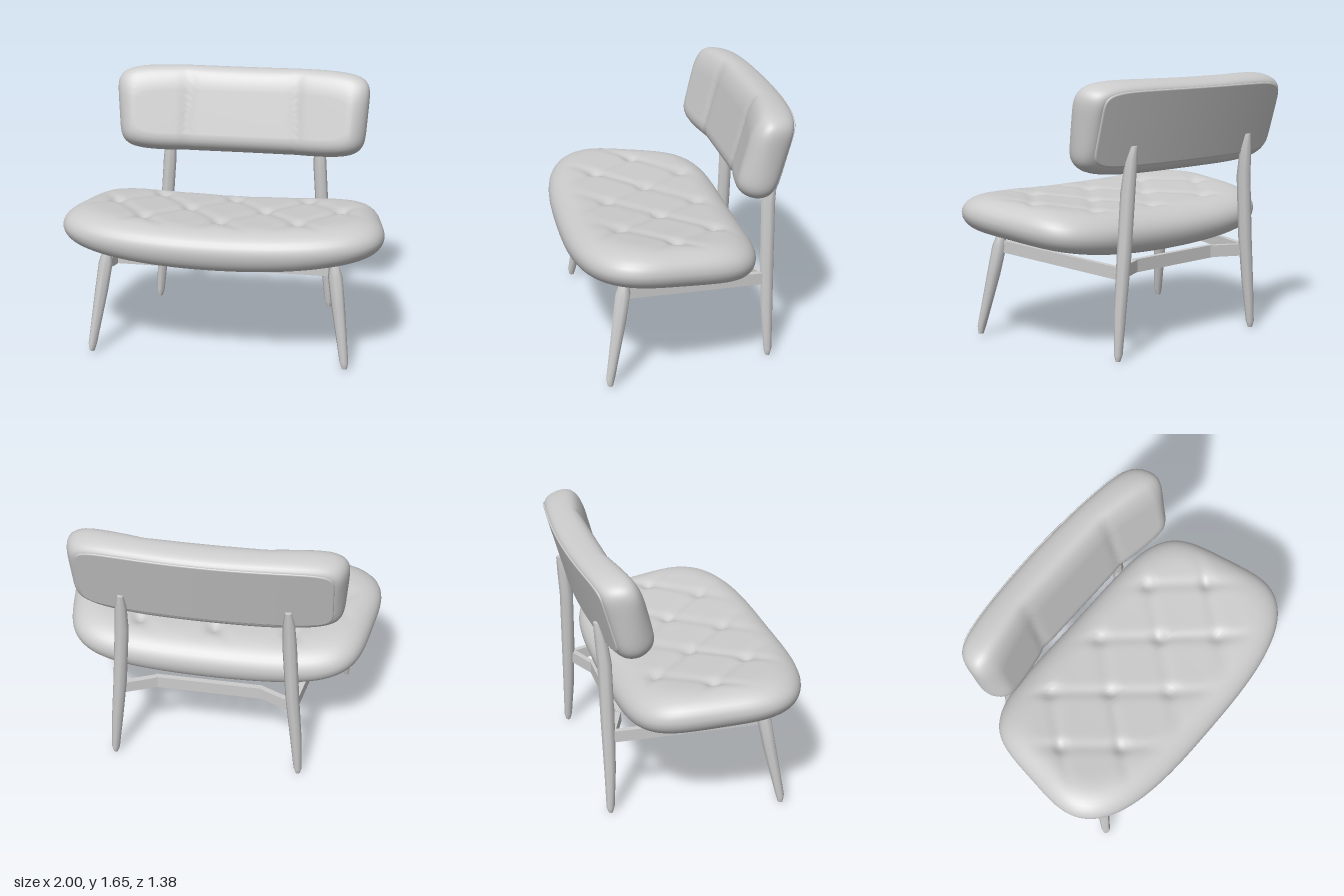
import * as THREE from 'three';
import { mergeVertices } from 'three/addons/utils/BufferGeometryUtils.js';

const material = new THREE.MeshStandardMaterial({ color: 0xcccccc });
const { clamp, lerp } = THREE.MathUtils;

function part(name, geometry, parent) {
  const mesh = new THREE.Mesh(geometry, material);
  mesh.name = name;
  parent.add(mesh);
  return mesh;
}

// Padded superellipse of half sizes a x b; farPower squares off the +q half.
// Rings run from the middle of the top, round the rim, to the middle of the underside.
// place(p, q, h, d) turns plan position, height (-1..1) and inset into x, y, z.
function cushion({ a, b, power, farPower = power, topRound, bottomRound, perSide, place }) {
  const profile = [];
  const flat = 18, arc = 9;
  for (let i = 0; i < flat; i++) profile.push([b + (topRound - b) * i / flat, 1]);
  for (let i = 0; i <= arc; i++) {
    const t = i / arc * Math.PI / 2;
    profile.push([topRound * (1 - Math.sin(t)), Math.cos(t)]);
  }
  for (let i = 1; i <= arc; i++) {
    const t = i / arc * Math.PI / 2;
    profile.push([bottomRound * (1 - Math.cos(t)), -Math.sin(t)]);
  }
  for (let i = 1; i <= 6; i++) profile.push([bottomRound + (b - bottomRound) * i / 6, -1]);

  // Evenly spread directions around a square, rounded to the superellipse
  const rim = [];
  for (let side = 0; side < 4; side++) {
    for (let i = 0; i < perSide; i++) {
      const s = -1 + 2 * i / perSide;
      const [p, q] = [[1, s], [-s, 1], [-1, -s], [s, -1]][side];
      const n = q > 0 ? farPower : power;
      const k = (Math.abs(p) ** n + Math.abs(q) ** n) ** (-1 / n);
      rim.push([p * k, q * k]);
    }
  }

  const position = [], index = [], n = rim.length;
  profile.forEach(([d, h], i) => {
    rim.forEach(([p, q], j) => {
      position.push(...place(p * (a - d), q * (b - d), h, d));
      if (i === profile.length - 1) return;
      const k = (j + 1) % n;
      const A = i * n + j, B = A + n, C = (i + 1) * n + k, D = i * n + k;
      index.push(A, B, C, A, C, D);
    });
  });
  const geometry = new THREE.BufferGeometry();
  geometry.setAttribute('position', new THREE.Float32BufferAttribute(position, 3));
  geometry.setIndex(index);
  const merged = mergeVertices(geometry, 1e-4);
  merged.computeVertexNormals();
  return merged;
}

// Tapered, bent leg: rows of [x, y, z, radius] from top to bottom
function limb(rows) {
  const geometry = new THREE.CylinderGeometry(1, 1, 1, 8, rows.length - 1);
  const pos = geometry.attributes.position;
  for (let i = 0; i < pos.count; i++) {
    const [x, y, z, r] = rows[Math.round((0.5 - pos.getY(i)) * (rows.length - 1))];
    pos.setXYZ(i, x + pos.getX(i) * r, y, z + pos.getZ(i) * r);
  }
  geometry.computeVertexNormals();
  return geometry;
}

// Straight bar between two points
function bar(name, from, to, width, height, parent) {
  const a = new THREE.Vector3(...from), b = new THREE.Vector3(...to);
  const mesh = part(name, new THREE.BoxGeometry(width, height, a.distanceTo(b)), parent);
  mesh.position.copy(a).add(b).multiplyScalar(0.5);
  mesh.lookAt(b);
}

// Depth of the diamond tufting: diagonal creases meeting at button dimples
function tuft(x, z) {
  const A = x / 0.48 + (z + 0.22) / 0.58, B = x / 0.48 - (z + 0.22) / 0.58;
  const dA = A - Math.round(A), dB = B - Math.round(B);
  return 0.009 * (Math.exp(-((dA / 0.1) ** 2)) + Math.exp(-((dB / 0.1) ** 2)))
    + 0.02 * Math.exp(-(dA * dA + dB * dB) / 0.015);
}

// Leaning sheet the backrest follows: three facets in front (h = 1), one smooth
// curve behind (h = -1), and a more upright rim (h = 0)
function backSheet(x, y, h) {
  const facets = 0.07 * clamp((Math.abs(x) - 0.36) / 0.36, 0, 1);
  const lean = 0.12 + 0.15 * h * h;
  return -0.515 - lean * (y - 1.375) + lerp(0.1 * x * x, facets, (h + 1) / 2);
}

export function createModel() {
  const chair = new THREE.Group();
  chair.name = 'loungeChair';

  // Wide seat, dished across, square at the back and rounded at the front
  part('seatCushion', cushion({
    a: 0.985, b: 0.575, power: 3, farPower: 5, topRound: 0.2, bottomRound: 0.09, perSide: 44,
    place(p, q, h, d) {
      const x = p * (1 - 0.09 * q / 0.575), z = 0.115 - q;
      const middle = 0.725 + 0.07 * z + 0.06 * x * x;
      const dip = h > 0 ? tuft(x, z) * clamp((d - 0.1) / 0.1, 0, 1) : 0;
      return [x, middle + h * (h > 0 ? 0.135 : 0.12 - 0.03 * x * x) - dip, z];
    },
  }), chair);

  // Backrest in three facets with shallow seams between them
  part('backrest', cushion({
    a: 0.84, b: 0.278, power: 6, topRound: 0.13, bottomRound: 0.07, perSide: 44,
    place(p, q, h) {
      const x = p * (1 + 0.08 * (q - 0.2));
      const y = 1.37 + q + 0.025 * x * x * Math.max(0, q / 0.278);
      const seam = 0.008 * Math.exp(-(((Math.abs(x) - 0.36) / 0.03) ** 2));
      return [x, y, backSheet(x, y, h) + h * (h > 0 ? 0.12 - seam : 0.11)];
    },
  }), chair);

  // Thin panel on the rear of the backrest
  part('backPanel', cushion({
    a: 0.76, b: 0.225, power: 8, topRound: 0.01, bottomRound: 0.01, perSide: 28,
    place: (p, q, h) => [p, 1.37 + q, backSheet(p, 1.37 + q, -1) - 0.11 + h * 0.008],
  }), chair);

  for (const [side, s] of [['left', 1], ['right', -1]]) {
    // Splayed front leg
    part(side + 'FrontLeg', limb([
      [s * 0.712, 0.66, 0.385, 0.025], [s * 0.72, 0.58, 0.395, 0.045],
      [s * 0.745, 0.4, 0.425, 0.042], [s * 0.795, 0.06, 0.49, 0.027], [s * 0.8, 0.015, 0.492, 0.016],
    ]), chair);
    // Rear leg running up into the backrest
    part(side + 'RearPost', limb([
      [s * 0.5, 1.27, -0.585, 0.02], [s * 0.505, 1.18, -0.565, 0.036], [s * 0.512, 1.0, -0.545, 0.044],
      [s * 0.54, 0.6, -0.54, 0.043], [s * 0.57, 0.3, -0.54, 0.037],
      [s * 0.592, 0.04, -0.547, 0.026], [s * 0.594, 0, -0.547, 0.014],
    ]), chair);
    // Side rail joining the legs
    bar(side + 'SideRail', [s * 0.7, 0.58, 0.37], [s * 0.545, 0.515, -0.53], 0.035, 0.075, chair);
    // Angled end of the rear rail
    bar(side + 'RearRailEnd', [s * 0.33, 0.52, -0.42], [s * 0.54, 0.515, -0.51], 0.035, 0.075, chair);
  }

  // Cross rails under the seat
  bar('frontRail', [-0.67, 0.57, 0.28], [0.67, 0.57, 0.28], 0.03, 0.065, chair);
  bar('rearRail', [-0.34, 0.52, -0.42], [0.34, 0.52, -0.42], 0.035, 0.08, chair);

  return chair;
}
